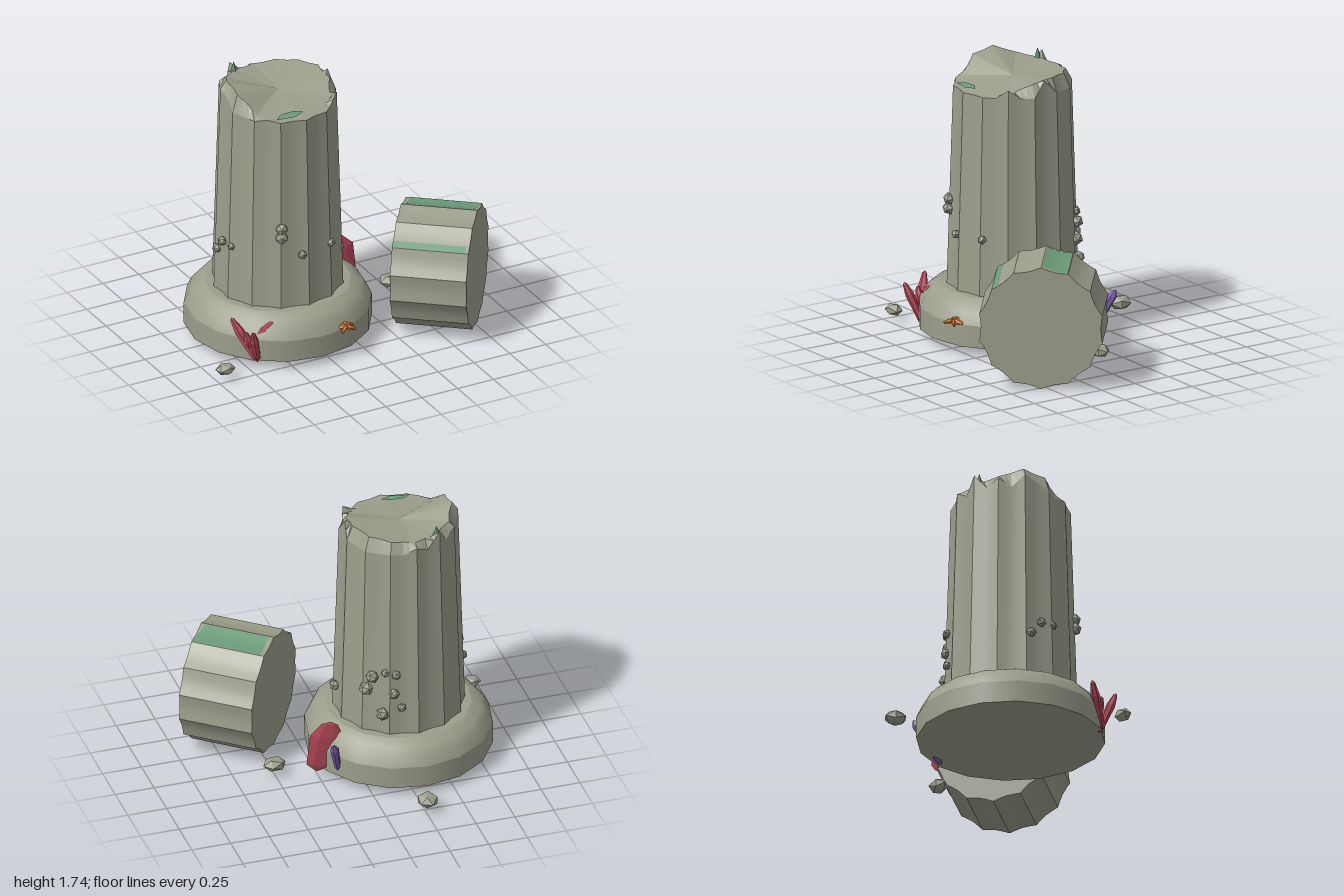
import * as THREE from 'three';
import { mergeGeometries } from 'three/addons/utils/BufferGeometryUtils.js';

const mat = (name, color) => new THREE.MeshStandardMaterial({ name, color, side: THREE.DoubleSide });
const STEP = Math.PI * 2 / 14; // one flute
const V = (x, y, z) => new THREE.Vector3(x, y, z);

export function createModel() {
  const stone = mat('stone', 0x9c9e8c);
  const moss = mat('moss', 0x6b9b79);
  const red = mat('redCrystal', 0xbb4a5c);
  const purple = mat('purpleCrystal', 0x8560b8);
  const orange = mat('orangeCrystal', 0xd07a35);

  const model = new THREE.Group();
  model.name = 'ruinedColumn';
  const add = (parent, name, geometry, material) => {
    const mesh = new THREE.Mesh(geometry, material);
    mesh.name = name;
    parent.add(mesh);
    return mesh;
  };
  const faceted = (geometry) => {
    const g = geometry.index ? geometry.toNonIndexed() : geometry;
    g.computeVertexNormals();
    return g;
  };

  // Point on a fluted outline: k = flute number, t = 0..1 across it
  const flutePoint = (k, t, r, y) => {
    const a = (k + t) * STEP, rr = r * (1 - 0.05 * Math.sin(Math.PI * t));
    return V(Math.sin(a) * rr, y, Math.cos(a) * rr);
  };
  // One concave strip, smooth inside and sharp at its edges
  const flute = (k, radius, bottom, top, t0 = 0, t1 = 1) => {
    const g = new THREE.PlaneGeometry(1, 1, 4, 1), p = g.attributes.position;
    for (let i = 0; i < p.count; i++) {
      const t = t0 + (t1 - t0) * (p.getX(i) + 0.5);
      const y = p.getY(i) > 0 ? top(k + t) : bottom;
      const q = flutePoint(k, t, radius(y), y);
      p.setXYZ(i, q.x, q.y, q.z);
    }
    g.computeVertexNormals();
    return g;
  };
  const flutes = (...args) =>
    mergeGeometries(Array.from({ length: 14 }, (_, k) => flute(k, ...args)));
  // Triangle strip between two closed rings of points
  const band = (outer, inner) => {
    const pts = [];
    outer.forEach((a, i) => {
      const j = (i + 1) % outer.length;
      pts.push(a, outer[j], inner[i], inner[i], outer[j], inner[j]);
    });
    return faceted(new THREE.BufferGeometry().setFromPoints(pts));
  };
  const fan = (ring, centre) => band(ring, ring.map(() => centre));

  // Standing column
  const column = new THREE.Group();
  column.name = 'standingColumn';
  column.position.set(-0.325, 0, 0);
  model.add(column);
  const lathe = (pts) => new THREE.LatheGeometry(pts.map(([x, y]) => new THREE.Vector2(x, y)), 16);
  add(column, 'baseUnderside', lathe([[0, 0.06], [0.58, 0.06]]), stone);
  add(column, 'baseBand', lathe([[0.58, 0.06], [0.58, 0.2]]), stone);
  add(column, 'baseMoulding', lathe([[0.58, 0.2], [0.55, 0.265], [0.51, 0.31], [0.45, 0.34]]), stone);
  add(column, 'baseTop', lathe([[0.45, 0.34], [0.36, 0.34]]), stone);

  // Broken rim heights, two per flute, counted from the front towards +x
  const rim = [1.6, 1.6, 1.6, 1.6, 1.66, 1.6, 1.6, 1.7, 1.61, 1.6, 1.6, 1.6, 1.61, 1.6,
    1.65, 1.61, 1.72, 1.62, 1.67, 1.61, 1.7, 1.66, 1.61, 1.6, 1.6, 1.61, 1.6, 1.6];
  const rimAt = (u) => {
    const f = ((u * 2) % 28 + 28) % 28, i = Math.floor(f);
    return THREE.MathUtils.lerp(rim[i], rim[(i + 1) % 28], f - i);
  };
  const shaftRadius = (y) => 0.408 - (y - 0.34) * 0.031;
  add(column, 'shaft', flutes(shaftRadius, 0.33, rimAt), stone);

  // Uneven broken surface inside the rim
  const core = [1.6, 1.6, 1.62, 1.68, 1.7, 1.69, 1.68, 1.67, 1.68, 1.7, 1.75, 1.72, 1.62, 1.6];
  const outer = [], inner = [];
  for (let i = 0; i < 56; i++) {
    const k = Math.floor(i / 4), t = (i % 4) / 4, y = rimAt(k + t);
    outer.push(flutePoint(k, t, shaftRadius(y), y));
    inner.push(flutePoint(k, t, 0.33, THREE.MathUtils.lerp(core[k], core[(k + 1) % 14], t)));
  }
  add(column, 'brokenRim', band(outer, inner), stone);
  add(column, 'brokenTop', fan(inner, V(0, 1.65, 0)), stone);

  // Moss on the broken top
  const onTop = [[-0.17, 0.3], [-0.05, 0.32], [0.02, 0.29], [-0.03, 0.26], [-0.12, 0.26]]
    .map(([x, z]) => V(x, 1.655 - 0.13 * Math.hypot(x, z), z));
  add(column, 'topMoss', fan(onTop, V(-0.07, 1.622, 0.285)), moss);
  add(column, 'mossyShard', new THREE.ConeGeometry(0.04, 0.1, 4).translate(-0.15, 1.69, -0.29), moss);

  // Small stone nubs on the shaft: angle in degrees, height, radius
  const nubs = [[-25, 0.82, 0.042], [-25, 0.88, 0.04], [-6, 0.69, 0.03], [27, 0.7, 0.03],
    [85, 0.5, 0.035], [80, 0.49, 0.03], [-88, 0.7, 0.032], [-98, 0.62, 0.032], [-75, 0.7, 0.026],
    [138, 0.73, 0.042], [160, 0.76, 0.03], [150, 0.77, 0.028], [132, 0.635, 0.045],
    [158, 0.63, 0.035], [148, 0.48, 0.042], [165, 0.53, 0.028]];
  for (const [deg, y, r] of nubs) {
    const a = THREE.MathUtils.degToRad(deg), d = shaftRadius(y) * 0.97 + r * 0.3;
    const nub = add(column, 'stoneNub', new THREE.IcosahedronGeometry(r, 0), stone);
    nub.position.set(Math.sin(a) * d, y, Math.cos(a) * d);
    nub.rotation.set(0.3, a, deg);
  }

  // Fallen drum lying on its side
  const drum = new THREE.Group();
  drum.name = 'fallenDrum';
  drum.matrix.makeBasis(V(-0.628, 0, 0.778), V(0.778, 0, 0.628), V(0, 1, 0));
  drum.quaternion.setFromRotationMatrix(drum.matrix);
  drum.position.set(0.585, 0.393, 0.395);
  model.add(drum);
  const half = 0.238, R = 0.388;
  add(drum, 'drumSide', flutes(() => R, -half, () => half), stone);
  for (const s of [-1, 1]) {
    const ring = Array.from({ length: 56 }, (_, i) =>
      flutePoint(Math.floor(i / 4), (i % 4) / 4, R, s * half));
    if (s < 0) ring.reverse();
    add(drum, 'drumEnd', fan(ring, V(0, s * half, 0)), stone);
  }
  const mossR = () => R + 0.003;
  add(drum, 'drumMoss', flute(-1, mossR, -0.21, (u) => 0.238 - 0.03 * (u + 1), 0.02, 0.95), moss);
  add(drum, 'drumMossStrip', flute(1, mossR, -half, () => 0.22, 0.72, 0.98), moss);

  // Six-sided crystal between two points, optionally flattened
  const crystal = (name, material, from, to, width, thick = width, waist = 0.7) => {
    const a = V(...from), b = V(...to), dir = b.clone().sub(a), len = dir.length();
    const profile = [[0.001, 0], [0.36, 0.12], [0.5, waist], [0.24, 0.95], [0.001, 1]]
      .map(([x, y]) => new THREE.Vector2(x, y * len));
    const g = faceted(new THREE.LatheGeometry(profile, 6, Math.PI / 6).scale(width, 1, thick));
    const mesh = add(model, name, g, material);
    mesh.position.copy(a);
    mesh.quaternion.setFromUnitVectors(V(0, 1, 0), dir.normalize());
  };
  crystal('redCrystal', red, [-0.7, 0.05, 0.44], [-0.82, 0.33, 0.31], 0.06);
  crystal('redCrystal', red, [-0.69, 0.05, 0.42], [-0.77, 0.3, 0.5], 0.055);
  crystal('redCrystal', red, [-0.71, 0.07, 0.4], [-0.77, 0.26, 0.4], 0.05);
  crystal('redBlade', red, [-0.73, 0.1, 0.4], [-0.58, 0.3, 0.43], 0.12, 0.04);
  crystal('redBlade', red, [0.27, 0.06, -0.21], [0.18, 0.4, -0.21], 0.22, 0.035);
  crystal('purpleCrystal', purple, [0.15, 0.08, -0.27], [0.22, 0.345, -0.395], 0.055, 0.055, 0.85);
  crystal('purpleCrystal', purple, [0.14, 0.045, -0.24], [0.09, 0.09, -0.34], 0.045);
  for (const tip of [[-0.2, 0.2, 0.6], [-0.1, 0.2, 0.59], [-0.15, 0.23, 0.5],
    [-0.21, 0.205, 0.53], [-0.09, 0.205, 0.53]]) {
    crystal('orangeCrystal', orange, [-0.15, 0.22, 0.56], tip, 0.04, 0.03, 0.35);
  }

  // Loose rocks around the foot
  for (const [x, y, z, w, h, d, turn] of [[-0.94, 0.075, 0.46, 0.065, 0.038, 0.05, 0.2],
    [0.5, 0.08, -0.08, 0.075, 0.045, 0.06, 0.7], [-0.265, 0.08, -0.76, 0.07, 0.047, 0.075, 1.2]]) {
    const rock = add(model, 'looseRock',
      faceted(new THREE.IcosahedronGeometry(1, 0).rotateY(turn).scale(w, h, d)), stone);
    rock.position.set(x, y, z);
  }
  return model;
}
